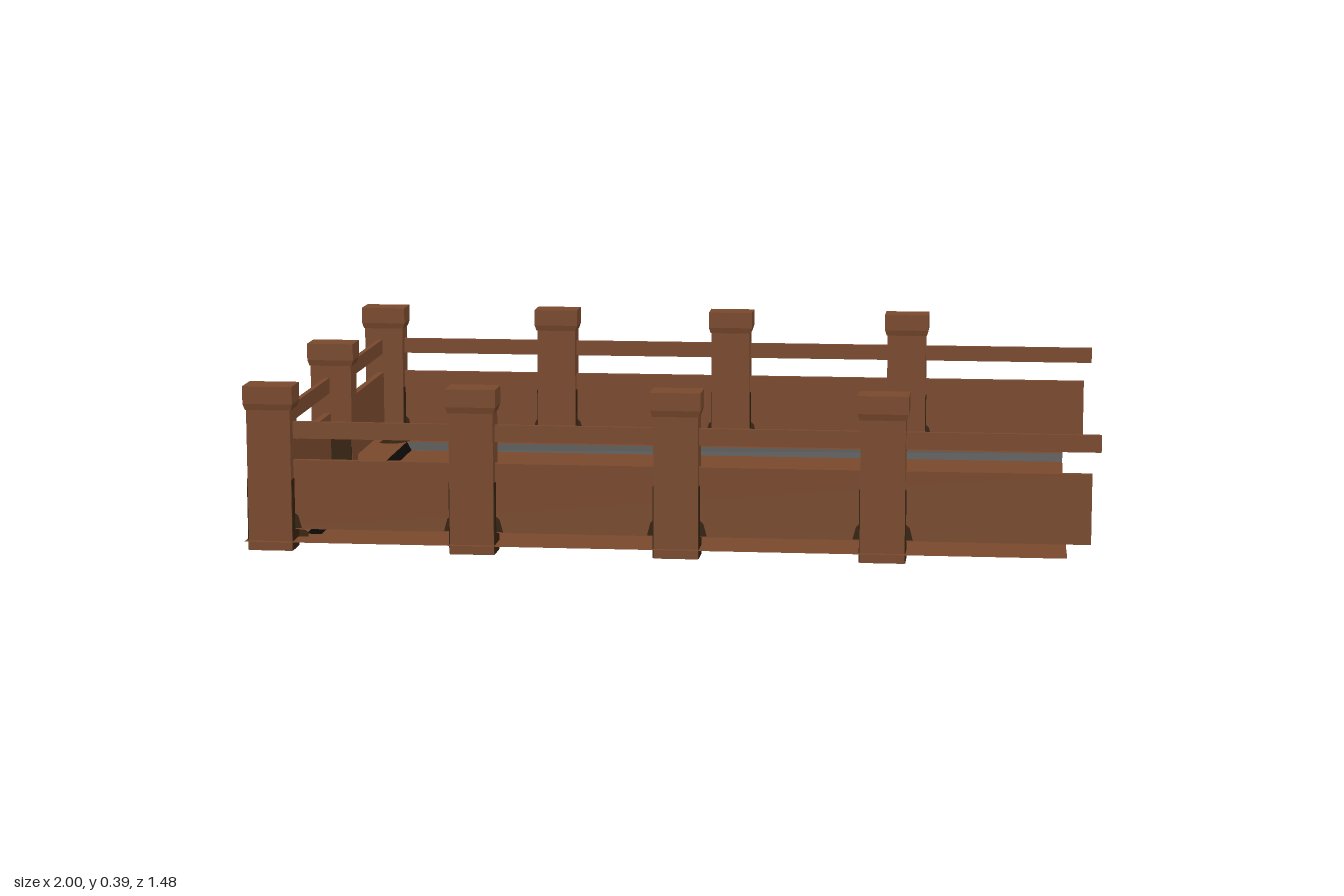
import * as THREE from 'three';

export function createModel() {
  const model = new THREE.Group();
  const mat = (name, color) => {
    const m = new THREE.MeshStandardMaterial({ color, side: THREE.DoubleSide, flatShading: true });
    m.name = name;
    return m;
  };
  const wood = mat('brown wood', 0x7a4a2e);
  const dark = mat('dark wood', 0x35220f);
  const black = mat('black trim', 0x0c0a09);

  const add = (parent, name, geometry, material, x = 0, y = 0, z = 0) => {
    const mesh = new THREE.Mesh(geometry, material);
    mesh.name = name;
    mesh.position.set(x, y, z);
    parent.add(mesh);
    return mesh;
  };
  // Box given by its limits on each axis
  const slab = (parent, name, material, x0, x1, y0, y1, z0, z1) =>
    add(parent, name, new THREE.BoxGeometry(x1 - x0, y1 - y0, z1 - z0), material,
      (x0 + x1) / 2, (y0 + y1) / 2, (z0 + z1) / 2);
  // Flat horizontal polygon from [x, z] points
  const flat = (points) =>
    new THREE.ShapeGeometry(new THREE.Shape(points.map(([x, z]) => new THREE.Vector2(x, -z)))).rotateX(-Math.PI / 2);

  // Sunken floor and the raised border on three sides
  const H = 0.023, END = 0.925;
  add(model, 'floor', flat([[-0.86, 0.622], [END, 0.622], [END, -0.622], [-0.86, -0.622]]), wood, 0, 0.002, 0);
  add(model, 'border', flat([
    [-1, 0.74], [END, 0.74], [END, 0.635], [-0.875, 0.635],
    [-0.875, -0.635], [END, -0.635], [END, -0.74], [-1, -0.74],
  ]), wood, 0, H, 0);

  // Slanted black step between border and floor
  const upper = [[END, 0.635], [-0.875, 0.635], [-0.875, -0.635], [END, -0.635]];
  const lower = [[END, 0.622], [-0.86, 0.622], [-0.86, -0.622], [END, -0.622]];
  const pos = [], idx = [];
  for (let i = 0; i < 4; i++) {
    pos.push(upper[i][0], H, upper[i][1], lower[i][0], 0.002, lower[i][1]);
    if (i < 3) idx.push(2 * i, 2 * i + 2, 2 * i + 1, 2 * i + 1, 2 * i + 2, 2 * i + 3);
  }
  const step = new THREE.BufferGeometry();
  step.setAttribute('position', new THREE.Float32BufferAttribute(pos, 3));
  step.setIndex(idx);
  step.computeVertexNormals();
  add(model, 'step', step, black);

  // Cap whose lower rim is chamfered inward
  const capLower = new THREE.BoxGeometry(0.118, 0.015, 0.078);
  const p = capLower.attributes.position;
  for (let i = 0; i < p.count; i++) {
    if (p.getY(i) < 0) p.setXYZ(i, p.getX(i) * 0.92, p.getY(i), p.getZ(i) * 0.9);
  }
  capLower.computeVertexNormals();

  // Post with cap, stained lower faces and hollow base
  const addPost = (name, x, z, sides) => {
    const post = new THREE.Group();
    post.name = name;
    post.position.set(x, 0, z);
    slab(post, 'shaft', wood, -0.052, 0.052, 0, 0.34, -0.034, 0.034);
    add(post, 'capRim', capLower, wood, 0, 0.3425, 0);
    slab(post, 'cap', wood, -0.059, 0.059, 0.35, 0.392, -0.039, 0.039);
    slab(post, 'hollowBase', black, -0.035, 0.035, -0.001, 0.001, -0.02, 0.02);
    for (const s of [-1, 1]) {
      if (sides === 'x') slab(post, 'sideStain', dark, s * 0.053 - 0.001, s * 0.053 + 0.001, 0.001, 0.17, -0.033, 0.033);
      else slab(post, 'sideStain', dark, -0.04, 0.051, 0.024, 0.16, s * 0.035 - 0.001, s * 0.035 + 0.001);
    }
    model.add(post);
  };

  // Long sides
  for (const s of [-1, 1]) {
    const side = s > 0 ? 'front' : 'back';
    const z = s * 0.693;
    for (const x of [-0.94, -0.46, 0.02, 0.5]) {
      addPost(side + 'Post', x, z, 'x');
      // Small stains on the board beside each post
      for (const d of [-1, 1]) {
        if (x < -0.9 && d < 0) continue;
        const tri = new THREE.ShapeGeometry(new THREE.Shape([
          new THREE.Vector2(d * 0.05, 0.05), new THREE.Vector2(d * 0.07, 0.05),
          new THREE.Vector2(d * 0.062, 0.08), new THREE.Vector2(d * 0.05, 0.09),
        ]));
        for (const f of [-1, 1]) add(model, 'boardStain', tri, dark, x, 0, z + f * 0.009);
      }
    }
    slab(model, side + 'Board', wood, -0.94, 0.98, 0.048, 0.213, z - 0.008, z + 0.008);
    slab(model, side + 'Rail', wood, -0.94, 1, 0.264, 0.304, z - 0.006, z + 0.006);

    // Stains on the border and board at the end corner
    add(model, 'cornerStain', flat([
      [-0.945, s * 0.665], [-0.945, s * 0.6], [-0.925, s * 0.588], [-0.885, s * 0.6],
      [-0.87, s * 0.63], [-0.86, s * 0.68], [-0.89, s * 0.68],
    ]), dark, 0, H + 0.002, 0);
    add(model, 'middleStain', flat([
      [-0.945, s * 0.03], [-0.945, s * 0.075], [-0.925, s * 0.075], [-0.91, s * 0.06], [-0.91, s * 0.03],
    ]), dark, 0, H + 0.002, 0);
  }

  // Closed end
  addPost('endPost', -0.94, -0.002, 'z');
  slab(model, 'endBoard', wood, -0.958, -0.942, 0.048, 0.213, -0.693, 0.693);
  slab(model, 'endRail', wood, -0.956, -0.944, 0.264, 0.304, -0.693, 0.693);

  return model;
}
